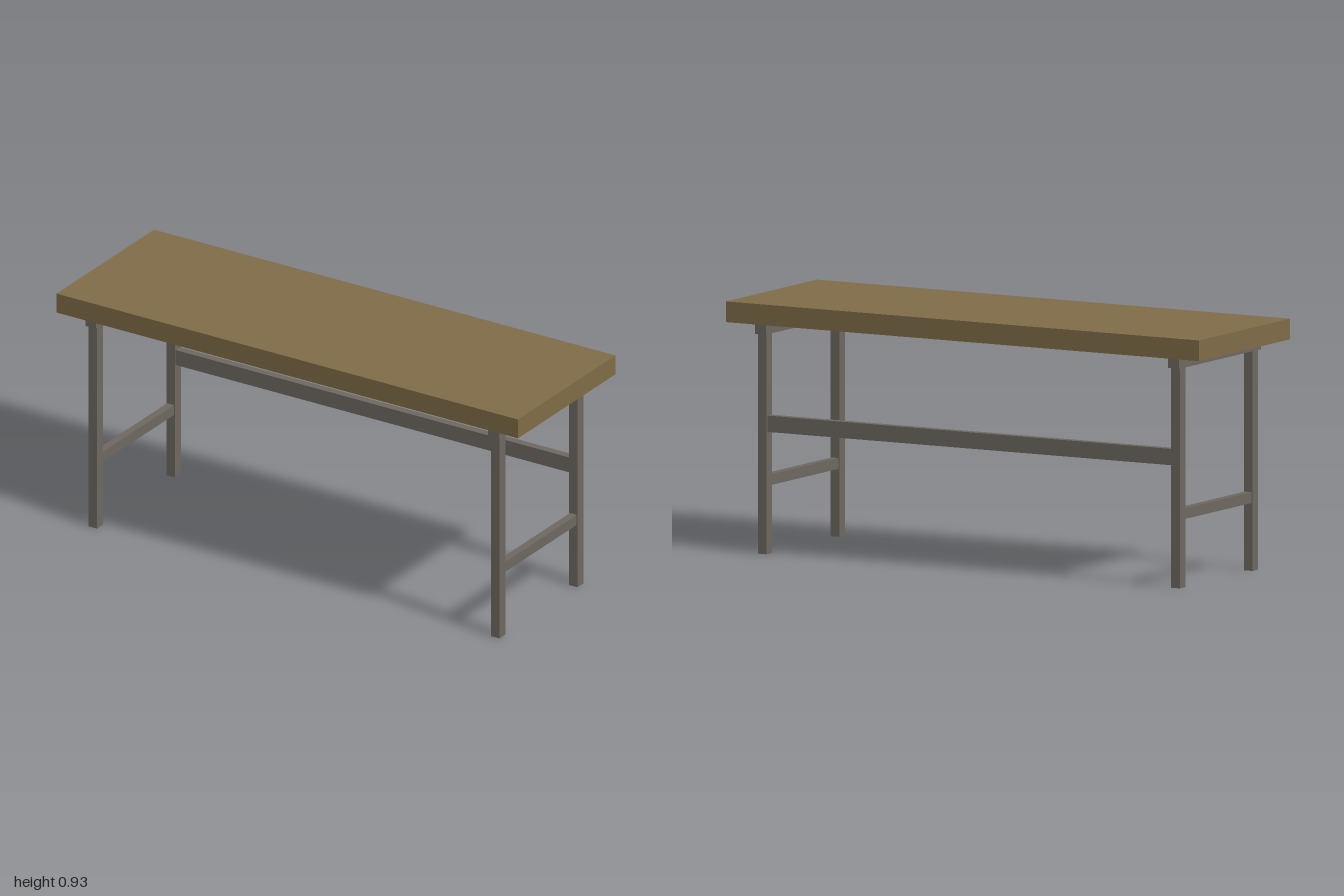
import * as THREE from 'three';

export function createModel() {
  const wood = new THREE.MeshStandardMaterial({ color: 0x806c47 });
  wood.name = 'brown wood';
  const steel = new THREE.MeshStandardMaterial({ color: 0x6e6860 });
  steel.name = 'grey steel';

  // Box given by its size and centre
  const box = (parent, name, material, [w, h, d], [x, y, z]) => {
    const mesh = new THREE.Mesh(new THREE.BoxGeometry(w, h, d), material);
    mesh.name = name;
    mesh.position.set(x, y, z);
    parent.add(mesh);
  };

  const table = new THREE.Group();
  table.name = 'workTable';

  // Thick top slab
  box(table, 'tableTop', wood, [2, 0.076, 0.656], [0, 0.888, 0]);

  // Two end frames: a pair of legs, a bearer under the top, a low stretcher
  const legX = 0.873, legZ = 0.262, legW = 0.037, legD = 0.041;
  for (const side of [1, -1]) {
    const frame = new THREE.Group();
    frame.name = side > 0 ? 'leftEndFrame' : 'rightEndFrame';
    frame.position.x = side * legX;
    box(frame, 'frontLeg', steel, [legW, 0.81, legD], [0, 0.405, legZ]);
    box(frame, 'backLeg', steel, [legW, 0.81, legD], [0, 0.405, -legZ]);
    box(frame, 'topBearer', steel, [0.046, 0.04, 0.59], [0, 0.83, 0]);
    box(frame, 'endStretcher', steel, [0.03, 0.04, 2 * legZ - legD], [0, 0.27, 0]);
    table.add(frame);
  }

  // Long rail joining the back legs
  box(table, 'backRail', steel, [2 * legX - legW, 0.06, 0.03], [0, 0.48, -legZ]);

  return table;
}
